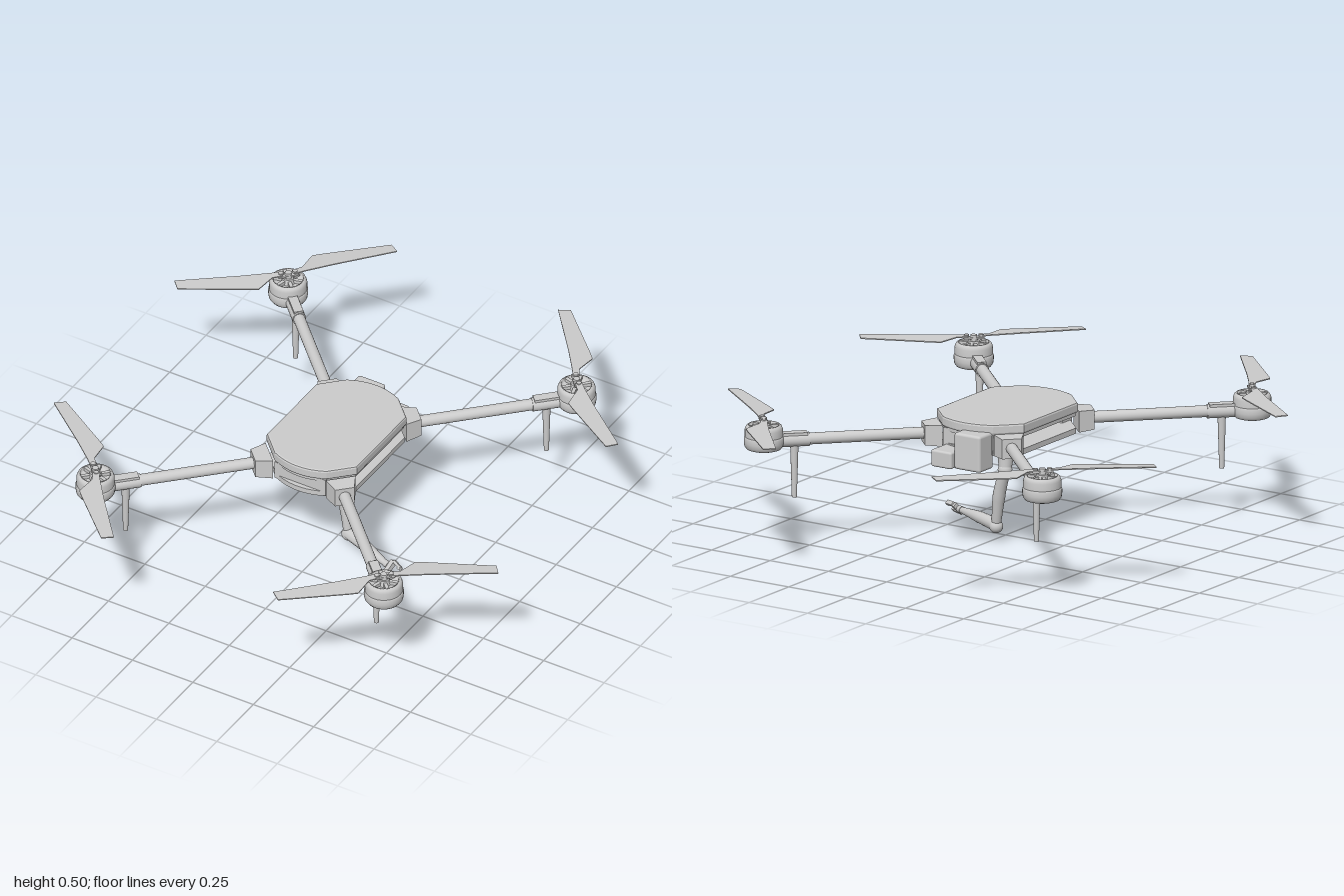
import * as THREE from 'three';
import { RoundedBoxGeometry } from 'three/addons/geometries/RoundedBoxGeometry.js';

const grey = new THREE.MeshStandardMaterial({ color: 0xcccccc, side: THREE.DoubleSide });
const V = (x, y, z) => new THREE.Vector3(x, y, z);

function add(parent, name, geometry, x = 0, y = 0, z = 0) {
  const mesh = new THREE.Mesh(geometry, grey);
  mesh.name = name;
  mesh.position.set(x, y, z);
  parent.add(mesh);
  return mesh;
}

// Octagonal body outline with gently bowed front and back, inset by d
function bodyShape(d) {
  const w = 0.187 - d, s = 0.17 - d * 0.4, c = 0.107 - d * 0.4, e = 0.25 - d, bow = 0.302 - d;
  const shape = new THREE.Shape();
  shape.moveTo(w, -s);
  shape.lineTo(w, s);
  shape.lineTo(c, e);
  shape.quadraticCurveTo(0, bow, -c, e);
  shape.lineTo(-w, s);
  shape.lineTo(-w, -s);
  shape.lineTo(-c, -e);
  shape.quadraticCurveTo(0, -bow, c, -e);
  shape.closePath();
  return shape;
}

// Horizontal body slab from y0 to y1, inset by d, with optional bevel
function slab(y0, y1, d, bevel = 0) {
  const g = new THREE.ExtrudeGeometry(bodyShape(d + bevel), {
    depth: y1 - y0 - 2 * bevel, curveSegments: 12, bevelEnabled: bevel > 0,
    bevelSize: bevel, bevelThickness: bevel, bevelSegments: 2,
  });
  return g.rotateX(-Math.PI / 2).translate(0, y0 + bevel, 0);
}

// Box along x whose two ends differ in width and height
function taperBox(length, h0, w0, h1, w1) {
  const g = new THREE.BoxGeometry(length, 1, 1);
  const p = g.attributes.position;
  for (let i = 0; i < p.count; i++) {
    const far = p.getX(i) > 0;
    p.setY(i, p.getY(i) * (far ? h1 : h0));
    p.setZ(i, p.getZ(i) * (far ? w1 : w0));
  }
  g.computeVertexNormals();
  return g;
}

// Round tube along points, with a radius that follows a list
function taperedTube(points, radii) {
  const curve = new THREE.CatmullRomCurve3(points), n = 16, sides = 16;
  const g = new THREE.TubeGeometry(curve, n, 1, sides);
  const p = g.attributes.position, v = V(0, 0, 0);
  for (let i = 0; i <= n; i++) {
    const t = (i / n) * (radii.length - 1), k = Math.min(Math.floor(t), radii.length - 2);
    const r = THREE.MathUtils.lerp(radii[k], radii[k + 1], t - k);
    const c = curve.getPointAt(i / n);
    for (let j = 0; j <= sides; j++) {
      const q = i * (sides + 1) + j;
      v.fromBufferAttribute(p, q).sub(c).multiplyScalar(r).add(c);
      p.setXYZ(q, v.x, v.y, v.z);
    }
  }
  g.computeVertexNormals();
  return g;
}

function lathe(points) {
  return new THREE.LatheGeometry(points.map(([r, y]) => new THREE.Vector2(r, y)), 32);
}

function createBody() {
  const body = new THREE.Group();
  body.name = 'body';
  body.position.z = -0.004;
  add(body, 'topCover', slab(0.443, 0.482, 0, 0.008));
  add(body, 'upperFrame', slab(0.431, 0.444, 0.008));
  add(body, 'bottomPlate', slab(0.367, 0.387, 0.006));
  for (const s of [1, -1]) add(body, s > 0 ? 'frontWall' : 'backWall', new THREE.BoxGeometry(0.21, 0.07, 0.06), 0, 0.407, s * 0.222);
  // Rear battery and the smaller sensor housing beside it
  add(body, 'rearBattery', new RoundedBoxGeometry(0.112, 0.134, 0.088, 3, 0.01), -0.047, 0.387, -0.282);
  add(body, 'rearSensor', new RoundedBoxGeometry(0.088, 0.062, 0.098, 3, 0.008), 0.053, 0.351, -0.293);
  return body;
}

// One arm, laid out along local +x from the body's cut corner
function createArm(sx, sz) {
  const arm = new THREE.Group();
  arm.name = (sz > 0 ? 'front' : 'back') + (sx > 0 ? 'Left' : 'Right') + 'Arm';
  arm.position.set(sx * 0.147, 0, sz * 0.212);
  arm.rotation.y = Math.atan2(-sz, sx);
  add(arm, 'socket', taperBox(0.06, 0.078, 0.108, 0.072, 0.07), 0.031, 0.407, 0);
  add(arm, 'boom', new THREE.CylinderGeometry(0.021, 0.021, 0.6, 20).rotateZ(Math.PI / 2), 0.31, 0.408, 0);
  add(arm, 'latchSleeve', new THREE.CylinderGeometry(0.025, 0.025, 0.115, 20).rotateZ(Math.PI / 2), 0.53, 0.407, 0);
  add(arm, 'latch', new THREE.BoxGeometry(0.1, 0.014, 0.034), 0.53, 0.428, 0);
  add(arm, 'leg', new THREE.CylinderGeometry(0.015, 0.009, 0.2, 14), 0.526, 0.296, 0);

  const motor = new THREE.Group();
  motor.name = 'motor';
  motor.position.x = 0.636;
  arm.add(motor);
  add(motor, 'motorPod', lathe([[0, 0.377], [0.05, 0.377], [0.062, 0.381], [0.069, 0.391], [0.071, 0.405], [0.071, 0.42], [0.068, 0.426], [0, 0.426]]));
  add(motor, 'motorBell', lathe([[0.068, 0.424], [0.068, 0.452], [0.064, 0.463], [0.058, 0.468], [0.053, 0.468], [0.053, 0.452], [0, 0.452]]));
  add(motor, 'motorCap', new THREE.CylinderGeometry(0.02, 0.026, 0.022, 24), 0, 0.462, 0);
  add(motor, 'bottomScrew', new THREE.CylinderGeometry(0.012, 0.012, 0.004, 16), 0, 0.376, 0);
  for (let i = 0; i < 6; i++) {
    const a = (i * Math.PI) / 3;
    const spoke = add(motor, 'spoke', new THREE.BoxGeometry(0.036, 0.013, 0.013), Math.cos(a) * 0.038, 0.461, -Math.sin(a) * 0.038);
    spoke.rotation.y = a;
  }
  return arm;
}

// Swept blade, broad near the root; side sets the handedness
function bladeGeometry(side) {
  const outline = [[0.02, 0.012], [0.06, 0.016], [0.118, 0.069], [0.15, 0.065], [0.402, 0.021], [0.405, -0.024], [0.17, -0.012], [0.06, -0.01], [0.02, -0.012]];
  const shape = new THREE.Shape(outline.map(([x, y]) => new THREE.Vector2(x, y * side)));
  const g = new THREE.ExtrudeGeometry(shape, { depth: 0.004, bevelEnabled: false });
  return g.rotateX(-Math.PI / 2 - side * 0.06);
}

function createPropeller(sx, sz, side, angles) {
  const prop = new THREE.Group();
  prop.name = 'propeller';
  prop.position.set(sx * 0.597, 0.487, sz * 0.662);
  for (const a of angles) {
    const r = THREE.MathUtils.degToRad(a);
    add(prop, 'blade', bladeGeometry(side)).rotation.y = r;
    add(prop, 'bladePin', new THREE.CylinderGeometry(0.009, 0.009, 0.016, 12), Math.cos(r) * 0.026, 0, -Math.sin(r) * 0.026);
  }
  const clamp = add(prop, 'hubClamp', new THREE.BoxGeometry(0.075, 0.006, 0.026), 0, -0.004, 0);
  clamp.rotation.y = THREE.MathUtils.degToRad(angles[0] + side * -6);
  add(prop, 'hub', new THREE.CylinderGeometry(0.012, 0.014, 0.022, 16), 0, -0.004, 0);
  return prop;
}

// Hanging robot arm with shoulder, elbow and a two-finger gripper
function createManipulator() {
  const m = new THREE.Group();
  m.name = 'manipulator';
  const shoulder = V(-0.006, 0.245, -0.013), elbow = V(0.043, 0.03, 0.003);
  add(m, 'mountDisc', new THREE.CylinderGeometry(0.097, 0.092, 0.02, 40), -0.012, 0.36, 0.004);
  add(m, 'shoulderPost', taperedTube([V(-0.006, 0.354, 0), V(-0.004, 0.3, -0.004), shoulder], [0.034, 0.03, 0.023]));
  add(m, 'shoulderJoint', new THREE.SphereGeometry(0.026, 20, 14), shoulder.x, shoulder.y, shoulder.z);
  add(m, 'upperLink', taperedTube([shoulder, V(0.023, 0.15, -0.006), elbow], [0.021, 0.023, 0.017]));
  add(m, 'elbowJoint', new THREE.SphereGeometry(0.025, 20, 14), elbow.x, 0.025, elbow.z);

  // Forearm runs along local +x
  const forearm = new THREE.Group();
  forearm.name = 'forearm';
  forearm.position.copy(elbow);
  forearm.rotation.y = -0.4;
  m.add(forearm);
  add(forearm, 'lowerLink', taperedTube([V(0, 0, 0), V(0.1, 0.003, 0), V(0.225, 0.002, 0)], [0.024, 0.021, 0.011]));
  add(forearm, 'wrist', new THREE.CylinderGeometry(0.013, 0.013, 0.02, 16).rotateZ(Math.PI / 2), 0.232, 0.002, 0);

  // Gripper, rolled about the forearm axis
  const gripper = new THREE.Group();
  gripper.name = 'gripper';
  gripper.position.set(0.25, 0.002, 0);
  gripper.rotation.x = Math.PI / 4;
  forearm.add(gripper);
  add(gripper, 'palm', new THREE.BoxGeometry(0.018, 0.018, 0.05));
  for (const s of [1, -1]) {
    const finger = add(gripper, 'finger', new THREE.BoxGeometry(0.044, 0.016, 0.01), 0.024, 0, s * 0.023);
    finger.rotation.y = s * 0.12;
    add(gripper, 'fingerTip', new THREE.BoxGeometry(0.014, 0.016, 0.008), 0.042, 0, s * 0.016);
  }
  return m;
}

export function createModel() {
  const model = new THREE.Group();
  model.name = 'quadcopter';
  const airframe = new THREE.Group();
  airframe.name = 'airframe';
  airframe.position.set(-0.012, 0, -0.003);
  model.add(airframe);
  airframe.add(createBody());
  const rotors = [
    [-1, -1, 1, [52.3, 221]],
    [1, -1, -1, [127, -41]],
    [-1, 1, -1, [-53, 139]],
    [1, 1, 1, [229.2, 35.4]],
  ];
  for (const [sx, sz, side, angles] of rotors) {
    airframe.add(createArm(sx, sz));
    airframe.add(createPropeller(sx, sz, side, angles));
  }
  model.add(createManipulator());
  return model;
}
